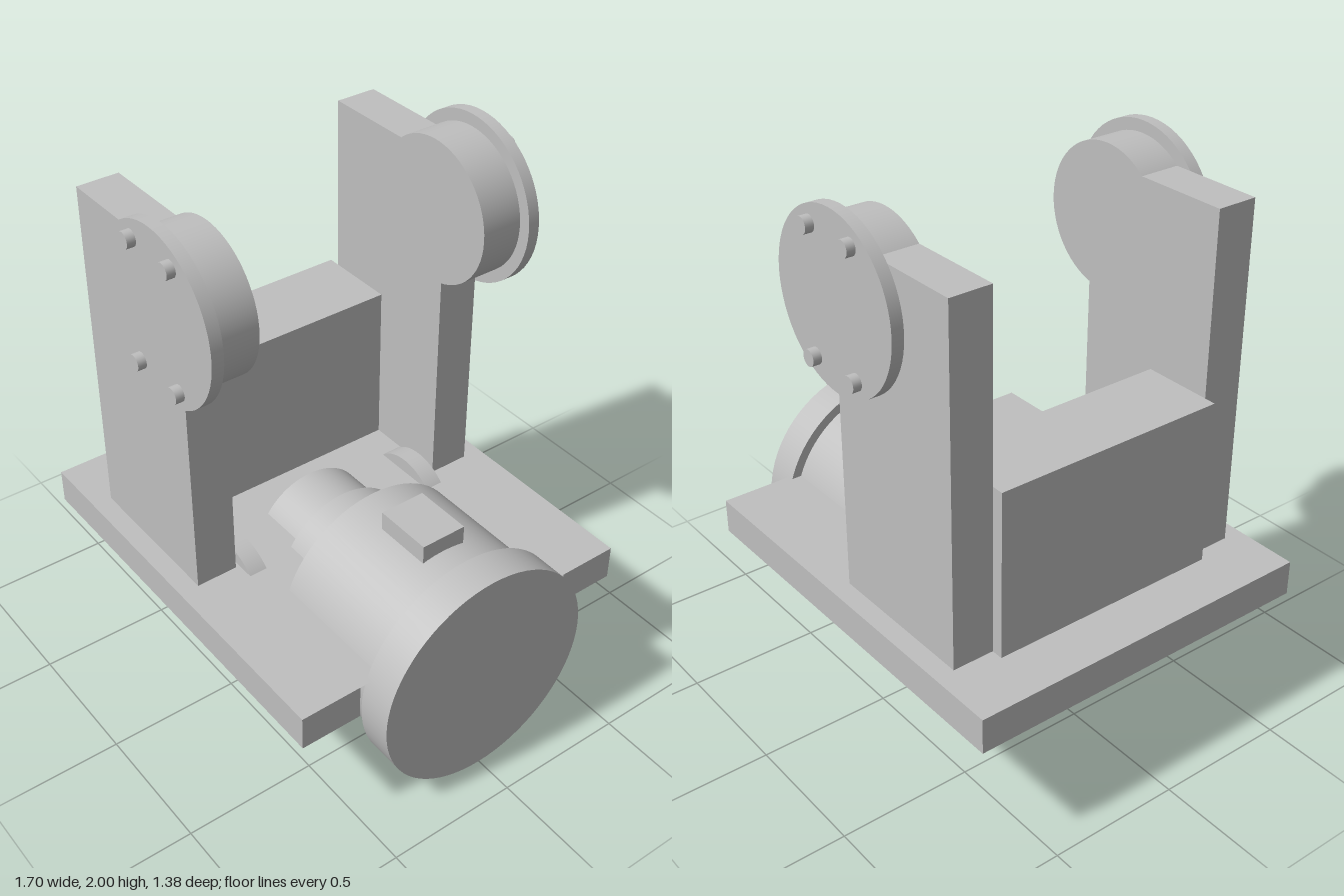
import * as THREE from 'three';

export function createModel() {
  const model = new THREE.Group();
  model.name = 'motorCradle';
  const grey = new THREE.MeshStandardMaterial({ color: 0xbfbfbf });
  grey.name = 'plain grey';

  const add = (name, geometry, parent = model) => {
    const mesh = new THREE.Mesh(geometry, grey);
    mesh.name = name;
    parent.add(mesh);
    return mesh;
  };
  // Box given by its limits on each axis
  const box = (name, x0, x1, y0, y1, z0, z1, parent) =>
    add(name, new THREE.BoxGeometry(x1 - x0, y1 - y0, z1 - z0), parent)
      .position.set((x0 + x1) / 2, (y0 + y1) / 2, (z0 + z1) / 2);
  // Cylinder along z
  const discZ = (name, r, x, y, z0, z1, parent, sides = 64) =>
    add(name, new THREE.CylinderGeometry(r, r, Math.abs(z1 - z0), sides).rotateX(Math.PI / 2), parent)
      .position.set(x, y, (z0 + z1) / 2);
  // Cylinder along x
  const discX = (name, r, x0, x1, parent) =>
    add(name, new THREE.CylinderGeometry(r, r, x1 - x0, 72).rotateZ(Math.PI / 2), parent)
      .position.set((x0 + x1) / 2, 0.433, 0);

  // Base plate, slotted from below for the motor, with a closed top skin
  const outline = new THREE.Shape([
    [-0.85, -0.69], [0.735, -0.69], [0.735, -0.455], [-0.33, -0.455],
    [-0.33, 0.455], [0.735, 0.455], [0.735, 0.69], [-0.85, 0.69],
  ].map(([x, y]) => new THREE.Vector2(x, y)));
  add('basePlate', new THREE.ExtrudeGeometry(outline, { depth: 0.135, bevelEnabled: false }).rotateX(-Math.PI / 2))
    .position.y = 0.435;
  add('basePlateTop', new THREE.PlaneGeometry(1.065, 0.91).rotateX(-Math.PI / 2))
    .position.set(0.2025, 0.57, 0);

  // Block between the uprights
  box('rearBlock', -0.645, -0.33, 0.57, 1.205, -0.455, 0.455);

  // Mirrored uprights, hubs, flanges, bolts and trunnions
  for (const s of [1, -1]) {
    const side = new THREE.Group();
    side.name = s > 0 ? 'frontSupport' : 'backSupport';
    model.add(side);
    const zMid = s * 0.535;
    box('upright', -0.6, 0.005, 0.57, 1.89, zMid - 0.08, zMid + 0.08, side);
    discZ('hub', 0.272, -0.06, 1.685, s * 0.455, s * 0.615, side);
    discZ('flange', 0.317, -0.06, 1.685, s * 0.615, s * 0.66, side);
    for (const bx of [-0.114, 0.114])
      for (const by of [-0.228, 0.228])
        discZ('bolt', 0.03, -0.06 + bx, 1.685 + by, s * 0.66, s * 0.692, side, 24);
    discZ('trunnionCollar', 0.192, -0.06, 0.433, s * 0.37, s * 0.44, side);
    discZ('trunnionPin', 0.125, -0.06, 0.433, s * 0.44, s * 0.455, side);
  }

  // Stepped motor
  const motor = new THREE.Group();
  motor.name = 'motor';
  model.add(motor);
  discX('shaftHousing', 0.237, -0.17, 0.033, motor);
  discX('neck', 0.27, 0.033, 0.215, motor);
  discX('motorBody', 0.395, 0.215, 0.713, motor);
  discX('endCap', 0.432, 0.713, 0.848, motor);
  box('terminalBox', 0.375, 0.598, 0.78, 0.89, -0.088, 0.088, motor);

  return model;
}
